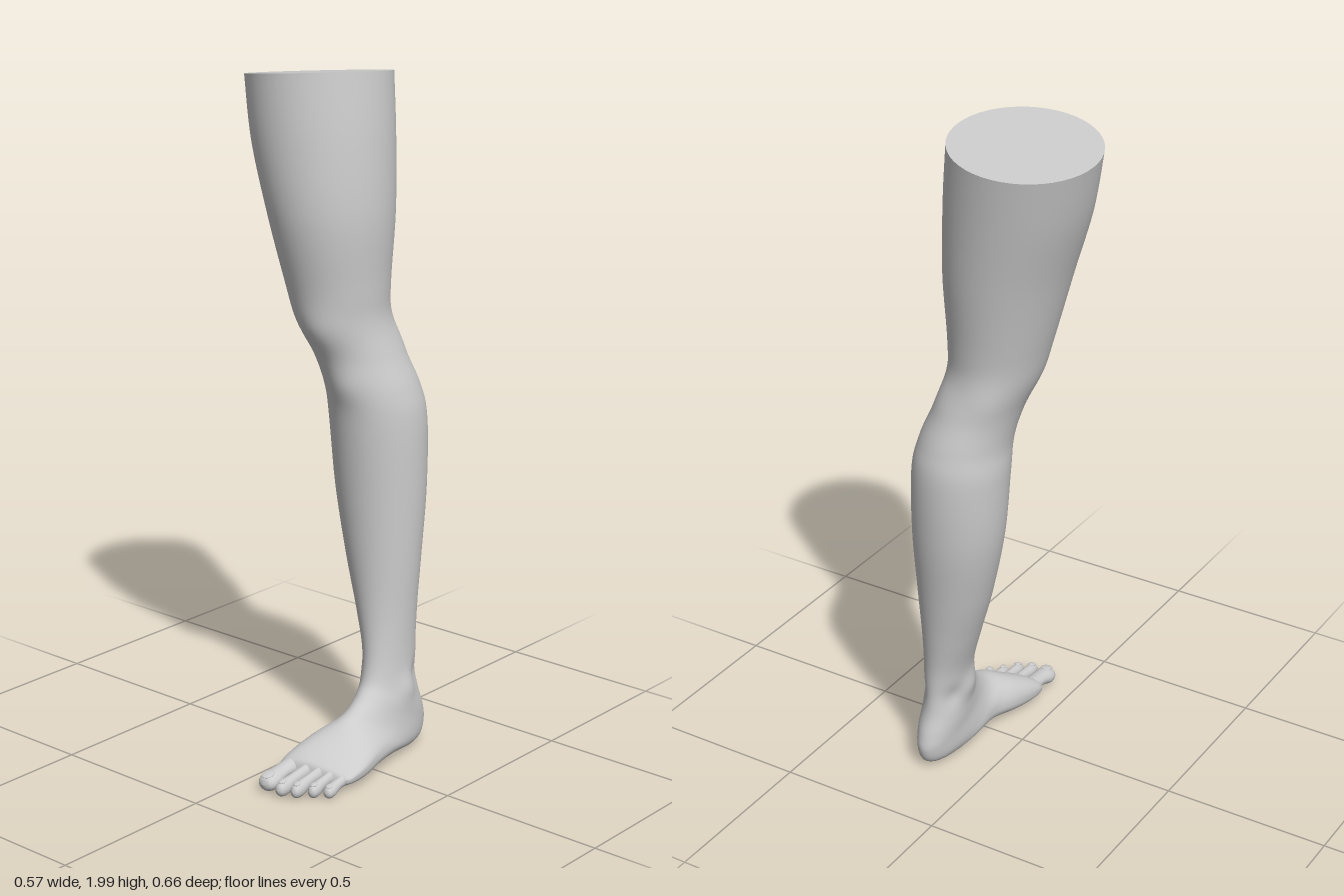
import * as THREE from 'three';

const SEG = 48;
const material = new THREE.MeshStandardMaterial({ color: 0xcccccc });

// Smooth interpolation of whole key rows (Catmull-Rom on every column)
function sampleRows(rows, u) {
  const n = rows.length - 1;
  const i = Math.min(Math.floor(u * n), n - 1), t = u * n - i;
  const p = [-1, 0, 1, 2].map(d => rows[THREE.MathUtils.clamp(i + d, 0, n)]);
  return p[1].map((b, k) => {
    const a = p[0][k], c = p[2][k], d = p[3][k];
    return b + 0.5 * t * (c - a + t * (2 * a - 5 * b + 4 * c - d + t * (3 * (b - c) + d - a)));
  });
}

// One cross-section. Row: front z, front y, back z, back y, min x, max x, foot amount, side tilt
function ring([zf, yf, zb, yb, x0, x1, foot, tilt]) {
  const points = [];
  const cx = (x0 + x1) / 2, half = (x1 - x0) / 2;
  for (let j = 0; j < SEG; j++) {
    const a = j / SEG * Math.PI * 2;
    let t = Math.cos(a);
    const s = Math.sin(a);
    // soles are flatter than the upper side
    if (t < 0) t = -Math.pow(-t, 1 - 0.35 * foot);
    const x = cx + half * s;
    let z = (zf + zb) / 2 + t * (zf - zb) / 2;
    let y = (yf + yb) / 2 + t * (yf - yb) / 2 + tilt * (x - cx);
    // the toe line slants back and the instep falls off toward the outer edge
    z -= 0.28 * foot * (x - cx);
    y *= 1 - 0.22 * foot * s * Math.max(t, 0);
    points.push(new THREE.Vector3(x, y, z));
  }
  return points;
}

function loft(rows, steps, sculpt) {
  const pos = [], index = [];
  for (let i = 0; i <= steps; i++) {
    const pts = ring(sampleRows(rows, i / steps));
    const centre = pts.reduce((c, p) => c.add(p), new THREE.Vector3()).divideScalar(SEG);
    for (const p of pts) {
      if (sculpt) sculpt(p, centre);
      pos.push(p.x, p.y, p.z);
    }
  }
  for (let i = 0; i < steps; i++) {
    for (let j = 0; j < SEG; j++) {
      const a = i * SEG + j, b = i * SEG + (j + 1) % SEG;
      index.push(a, a + SEG, b, b, a + SEG, b + SEG);
    }
  }
  const g = new THREE.BufferGeometry();
  g.setAttribute('position', new THREE.Float32BufferAttribute(pos, 3));
  g.setIndex(index);
  g.computeVertexNormals();
  return g;
}

// Soft anatomical bumps and hollows: x, y, z, radius, push
const bumps = [
  [0.04, 1.27, 0.03, 0.07, 0.012],    // kneecap
  [0.10, 1.12, -0.02, 0.05, 0.006],   // below the knee
  [-0.04, 1.25, -0.25, 0.06, 0.006],  // tendons behind the knee
  [0.13, 1.25, -0.25, 0.06, 0.006],
  [0.10, 0.25, -0.13, 0.04, 0.010],   // ankle bones
  [0.225, 0.21, -0.16, 0.04, 0.010],
  [0.11, 0.24, -0.21, 0.035, -0.012], // hollows beside the heel tendon
  [0.22, 0.24, -0.22, 0.035, -0.012],
  [0.08, 0.05, 0.00, 0.06, -0.012],   // arch
];
function sculptLeg(p, centre) {
  const dir = p.clone().sub(centre).normalize();
  let push = 0;
  for (const [x, y, z, r, amount] of bumps) {
    const d2 = (p.x - x) ** 2 + (p.y - y) ** 2 + (p.z - z) ** 2;
    push += amount * Math.exp(-d2 / (r * r));
  }
  p.addScaledVector(dir, push);
}

// Level sections of the thigh, knee and calf: y, front z, back z, min x, max x
const levels = [
  [1.8, 0.102, -0.312, -0.25, 0.145],
  [1.6, 0.094, -0.285, -0.19, 0.158],
  [1.4, 0.058, -0.256, -0.137, 0.15],
  [1.3, 0.036, -0.252, -0.11, 0.15],
  [1.2, 0.0, -0.275, -0.07, 0.175],
  [1.1, -0.02, -0.307, -0.048, 0.21],
  [1.0, -0.035, -0.323, -0.047, 0.228],
  [0.8, -0.052, -0.313, -0.033, 0.232],
  [0.6, -0.063, -0.285, 0.01, 0.227],
  [0.45, -0.067, -0.264, 0.055, 0.221],
];
const legRows = [
  [0.093, 1.992, -0.333, 1.957, -0.286, 0.122, 0, 0.1],
  ...levels.map(([y, zf, zb, x0, x1]) => [zf, y, zb, y, x0, x1, 0, y > 1.7 ? 0.04 : 0]),
  // ankle to ball: sections swing from level to upright
  [-0.062, 0.33, -0.25, 0.32, 0.092, 0.22, 0, 0],
  [-0.045, 0.25, -0.254, 0.2, 0.1, 0.225, 0, 0],
  [-0.015, 0.212, -0.277, 0.12, 0.102, 0.234, 0, 0],
  [0.02, 0.187, -0.284, 0.07, 0.104, 0.237, 0, 0],
  [0.045, 0.173, -0.262, 0.025, 0.102, 0.242, 0.1, 0],
  [0.065, 0.163, -0.2, 0.01, 0.098, 0.25, 0.25, 0],
  [0.085, 0.15, -0.1, 0.018, 0.088, 0.262, 0.45, 0],
  [0.11, 0.133, 0.0, 0.02, 0.074, 0.275, 0.65, 0],
  [0.145, 0.11, 0.1, 0.011, 0.063, 0.284, 0.9, 0],
  [0.178, 0.088, 0.165, 0.011, 0.06, 0.283, 1, 0],
  [0.198, 0.07, 0.195, 0.018, 0.067, 0.276, 1, 0],
  [0.205, 0.045, 0.205, 0.035, 0.09, 0.25, 1, 0],
];

// Toe: root x, tip x, root z, tip z, width, height
const toes = [
  [0.097, 0.099, 0.165, 0.33, 0.059, 0.064],
  [0.148, 0.153, 0.16, 0.33, 0.036, 0.058],
  [0.184, 0.192, 0.15, 0.31, 0.034, 0.056],
  [0.217, 0.226, 0.14, 0.275, 0.032, 0.052],
  [0.25, 0.26, 0.12, 0.247, 0.033, 0.048],
];
// Along the toe: position, width, top, bottom (as shares of the toe's size)
const toeProfile = [
  [0, 0.9, 1.25, 0.4], [0.25, 0.92, 1.2, 0.4], [0.48, 0.88, 1.1, 0.45], [0.62, 0.92, 1.05, 0.35],
  [0.78, 1.04, 1.0, 0.18], [0.9, 0.94, 0.92, 0.18], [0.97, 0.65, 0.78, 0.3], [1, 0.04, 0.55, 0.52],
];

export function createModel() {
  const group = new THREE.Group();
  const add = (name, geometry) => {
    const mesh = new THREE.Mesh(geometry, material);
    mesh.name = name;
    group.add(mesh);
    return mesh;
  };

  add('legAndFoot', loft(legRows, 184, sculptLeg));

  // Flat cut across the thigh
  const rim = ring(legRows[0]);
  const middle = rim.reduce((c, p) => c.add(p), new THREE.Vector3()).divideScalar(SEG);
  const fan = rim.flatMap((p, j) => [middle, p, rim[(j + 1) % SEG]]);
  const cut = new THREE.BufferGeometry().setFromPoints(fan);
  cut.computeVertexNormals();
  add('thighCut', cut);

  // Toes and nails
  toes.forEach(([xr, xt, zr, zt, w, h], i) => {
    const rows = toeProfile.map(([f, wide, top, bottom]) => {
      const x = xr + (xt - xr) * f, z = zr + (zt - zr) * f;
      return [z, top * h, z, bottom * h, x - wide * w / 2, x + wide * w / 2, 0, 0];
    });
    add('toe' + (i + 1), loft(rows, 35));

    const nail = add('toenail' + (i + 1), new THREE.SphereGeometry(1, 20, 12));
    nail.scale.set(w * 0.3, 0.004, w * 0.3 + 0.002);
    nail.position.set(xt, h * 0.94, zt - (zt - zr) * 0.13);
    nail.rotation.x = 0.25;
  });
  return group;
}
